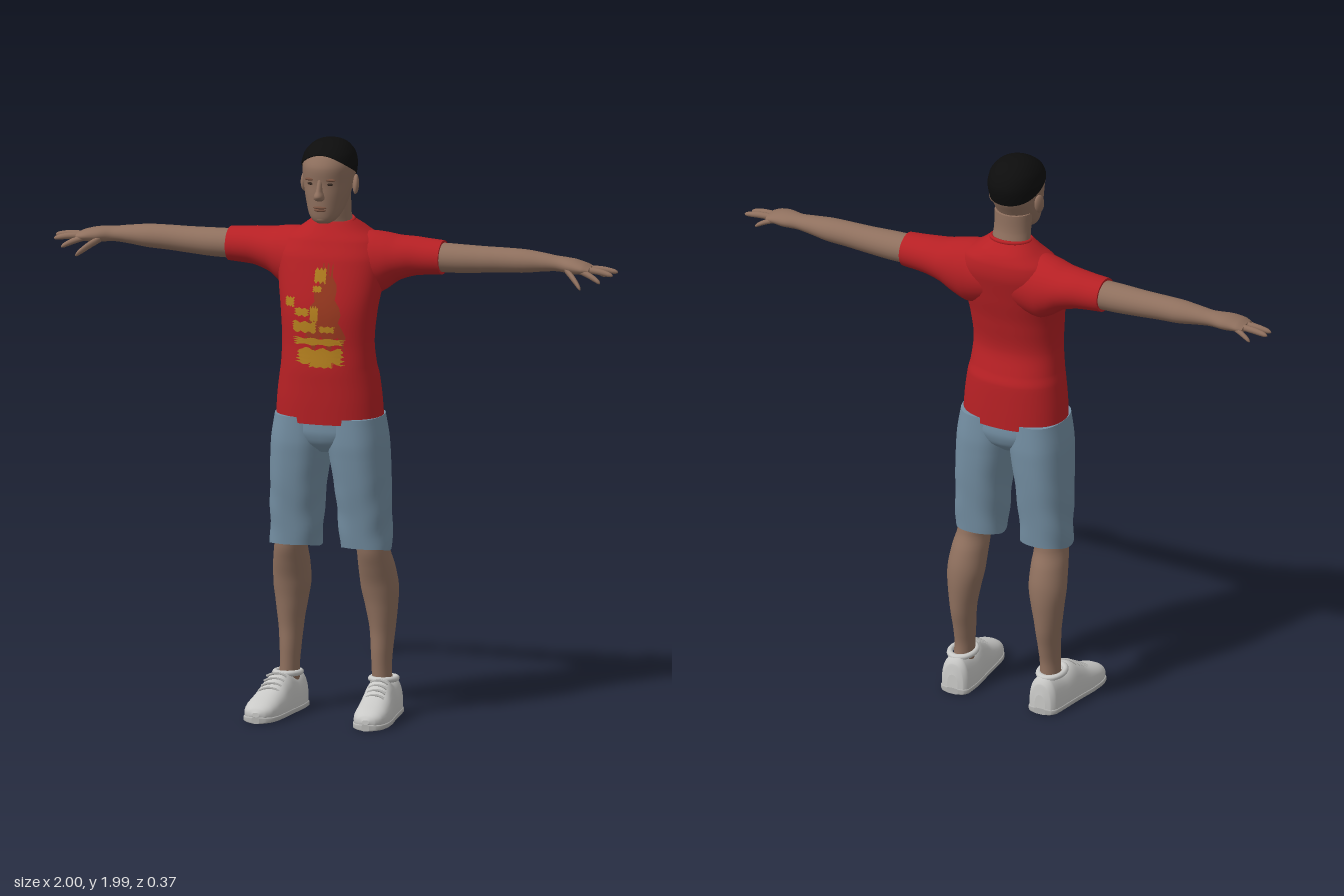
import * as THREE from 'three';

const mat = (name, color) => Object.assign(new THREE.MeshStandardMaterial({ color }), { name });

// Closed tube of rings: fn(t, angle) gives a point; both ends get flat caps
function rings(n, seg, fn) {
  const pos = [], idx = [];
  for (let i = 0; i <= n; i++)
    for (let j = 0; j < seg; j++) pos.push(...fn(i / n, (j / seg) * Math.PI * 2));
  for (let i = 0; i < n; i++)
    for (let j = 0; j < seg; j++) {
      const k = (j + 1) % seg, a = i * seg + j, b = i * seg + k;
      idx.push(a, b, b + seg, a, b + seg, a + seg);
    }
  for (const end of [0, 1]) {
    const base = pos.length / 3, c = [0, 0, 0];
    for (let j = 0; j < seg; j++) {
      const p = fn(end, (j / seg) * Math.PI * 2);
      pos.push(...p);
      p.forEach((v, q) => { c[q] += v / seg; });
    }
    pos.push(...c);
    for (let j = 0; j < seg; j++) {
      const a = base + j, b = base + ((j + 1) % seg);
      idx.push(base + seg, end ? a : b, end ? b : a);
    }
  }
  const g = new THREE.BufferGeometry();
  g.setAttribute('position', new THREE.Float32BufferAttribute(pos, 3));
  g.setIndex(idx);
  g.computeVertexNormals();
  return g;
}

// Smooth, overshoot-free interpolation of section rows [t, u, v, ru, rv]
function sectionAt(rows, t) {
  const last = rows.length - 1;
  let i = 0;
  while (i < last - 1 && t > rows[i + 1][0]) i++;
  const slope = (k, c) => (rows[k + 1][c] - rows[k][c]) / (rows[k + 1][0] - rows[k][0]);
  const tangent = (k, c) => {
    if (k === 0) return slope(0, c);
    if (k === last) return slope(last - 1, c);
    const p = slope(k - 1, c), q = slope(k, c);
    return p * q <= 0 ? 0 : (2 * p * q) / (p + q);
  };
  const h = rows[i + 1][0] - rows[i][0];
  const s = Math.min(1, Math.max(0, (t - rows[i][0]) / h)), s2 = s * s, s3 = s2 * s;
  return [1, 2, 3, 4].map((c) => (2 * s3 - 3 * s2 + 1) * rows[i][c] + (3 * s2 - 2 * s3) * rows[i + 1][c]
    + (s3 - 2 * s2 + s) * h * tangent(i, c) + (s3 - s2) * h * tangent(i + 1, c));
}

const power = (v, n) => Math.sign(v) * Math.abs(v) ** (2 / n);

// Loft along an axis; (u, v) are (y,z) for x, (z,x) for y, (x,y) for z
function loft(axis, rows, { n = 2, seg = 32, steps = 5, warp = (p) => p } = {}) {
  const count = (rows.length - 1) * steps;
  return rings(count, seg, (f, a) => {
    const q = Math.min(f * (rows.length - 1), rows.length - 1 - 1e-9), i = Math.floor(q);
    const t = rows[i][0] + (q - i) * (rows[i + 1][0] - rows[i][0]);
    const [cu, cv, ru, rv] = sectionAt(rows, t);
    const u = cu + ru * power(Math.cos(a), n), v = cv + rv * power(Math.sin(a), n);
    return warp(axis === 'x' ? [t, u, v] : axis === 'y' ? [v, t, u] : [u, v, t]);
  });
}

function mirrored(geo) {
  const g = geo.clone().scale(-1, 1, 1), ix = g.index;
  for (let i = 0; i < ix.count; i += 3) {
    const b = ix.getX(i + 1);
    ix.setX(i + 1, ix.getX(i + 2));
    ix.setX(i + 2, b);
  }
  return g;
}

const ball = (x, y, z, rx, ry, rz) => new THREE.SphereGeometry(1, 20, 14).scale(rx, ry, rz).translate(x, y, z);

const torsoRows = [
  [1.025, -0.028, 0, 0.127, 0.185], [1.1, -0.025, 0, 0.128, 0.18], [1.18, -0.022, 0, 0.127, 0.17],
  [1.22, -0.015, 0, 0.12, 0.163], [1.3, -0.008, 0, 0.108, 0.158], [1.4, -0.016, 0, 0.116, 0.165],
  [1.5, -0.038, 0, 0.12, 0.18], [1.58, -0.058, 0, 0.12, 0.188], [1.64, -0.072, 0, 0.108, 0.165],
  [1.675, -0.075, 0, 0.09, 0.115], [1.705, -0.066, 0, 0.062, 0.074]];
const TORSO_N = 2.3;

const headRows = [
  [1.712, 0.045, 0, 0.022, 0.022], [1.722, 0.038, 0, 0.04, 0.04], [1.745, 0.022, 0, 0.063, 0.056],
  [1.78, 0.004, 0, 0.084, 0.068], [1.815, -0.007, 0, 0.096, 0.077], [1.855, -0.018, 0, 0.107, 0.084],
  [1.9, -0.021, 0, 0.114, 0.088], [1.935, -0.024, 0, 0.101, 0.082], [1.96, -0.027, 0, 0.078, 0.066],
  [1.976, -0.03, 0, 0.052, 0.046], [1.984, -0.03, 0, 0.026, 0.024], [1.986, -0.03, 0, 0.006, 0.006]];

// Ragged plate lying on the chest; taper narrows its top
function chestPatch(x, y, w, h, lift, taper = 0) {
  const g = new THREE.PlaneGeometry(w, h, 12, 12), p = g.attributes.position;
  for (let i = 0; i < p.count; i++) {
    const u = p.getX(i) / w, v = p.getY(i) / h;
    const rag = 1 + 0.13 * Math.sin(v * 23 + y * 90) + 0.08 * Math.sin(v * 51 + x * 70);
    const px = x + u * w * rag * (1 - taper * (v + 0.5));
    const py = y + v * h * (1 + 0.22 * Math.sin(u * 17 + y * 70));
    const [cz, , rz, rx] = sectionAt(torsoRows, py);
    const pz = cz + rz * (1 - Math.abs(px / rx) ** TORSO_N) ** (1 / TORSO_N);
    p.setXYZ(i, px, py, pz + lift);
  }
  g.computeVertexNormals();
  return g;
}

export function createModel() {
  const model = new THREE.Group();
  model.name = 'standingMan';
  const skin = mat('skin', 0x8f705e), red = mat('shirtRed', 0xb62024), denim = mat('denim', 0x748fa3);
  const white = mat('shoeWhite', 0xc9c9c7), sole = mat('soleGrey', 0xb4b4b2), black = mat('hairBlack', 0x0d0d0d);
  const gold = mat('printGold', 0xb47f1e), rust = mat('printRust', 0x98381f), lip = mat('lipBrown', 0x75503f);
  const eye = mat('eyeDark', 0x33261f);

  const add = (name, geo, material) => {
    const m = new THREE.Mesh(geo, material);
    m.name = name;
    model.add(m);
  };
  const pair = (name, geo, material) => {
    add(name + 'Left', geo, material);
    add(name + 'Right', mirrored(geo), material);
  };

  // Shirt
  add('shirtBody', loft('y', torsoRows, { n: TORSO_N, seg: 56, steps: 6 }), red);
  pair('sleeve', loft('x', [
    [0.04, 1.565, -0.066, 0.1, 0.1], [0.13, 1.558, -0.074, 0.112, 0.1], [0.18, 1.567, -0.083, 0.098, 0.094],
    [0.23, 1.58, -0.092, 0.076, 0.084], [0.3, 1.588, -0.098, 0.064, 0.07], [0.378, 1.588, -0.098, 0.058, 0.062]]), red);
  add('collar', new THREE.TorusGeometry(0.069, 0.007, 10, 40).rotateX(Math.PI / 2).scale(1, 1, 0.86)
    .rotateX(0.12).translate(0, 1.703, -0.064), red);

  // Chest print
  add('printShade', chestPatch(0.02, 1.43, 0.15, 0.25, 0.003, 0.75), rust);
  const patches = [
    [0, 1.535, 0.04, 0.045], [-0.108, 1.44, 0.035, 0.03], [-0.008, 1.49, 0.03, 0.02], [-0.06, 1.41, 0.05, 0.026],
    [-0.015, 1.405, 0.028, 0.05], [-0.05, 1.36, 0.085, 0.035], [0.03, 1.355, 0.05, 0.02],
    [0, 1.312, 0.165, 0.022], [0.005, 1.262, 0.155, 0.05], [0.01, 1.235, 0.08, 0.02]];
  patches.forEach(([x, y, w, h], i) => add('printPatch' + (i + 1), chestPatch(x, y, w, h, 0.005), gold));

  // Arms and hands
  pair('arm', loft('x', [
    [0.34, 1.588, -0.098, 0.05, 0.055], [0.42, 1.588, -0.098, 0.049, 0.054], [0.52, 1.59, -0.1, 0.045, 0.049],
    [0.6, 1.593, -0.101, 0.042, 0.046], [0.66, 1.594, -0.101, 0.04, 0.046], [0.74, 1.595, -0.099, 0.031, 0.038],
    [0.79, 1.594, -0.096, 0.026, 0.034], [0.84, 1.591, -0.087, 0.026, 0.045], [0.885, 1.587, -0.08, 0.02, 0.046],
    [0.91, 1.584, -0.08, 0.012, 0.038]], { seg: 24 }), skin);
  // Each digit: base x,y,z, tip x,y,z, radius
  [['littleFinger', 0.88, 1.585, -0.113, 0.945, 1.555, -0.126, 0.0095],
    ['ringFinger', 0.885, 1.586, -0.094, 0.998, 1.577, -0.1, 0.011],
    ['middleFinger', 0.885, 1.586, -0.072, 0.992, 1.572, -0.06, 0.011],
    ['indexFinger', 0.88, 1.583, -0.051, 0.957, 1.55, -0.031, 0.011],
    ['thumb', 0.825, 1.582, -0.062, 0.897, 1.53, -0.002, 0.013],
  ].forEach(([name, x0, y0, z0, x1, y1, z1, r]) => {
    const rows = [[0, 1], [0.5, 1], [0.85, 0.8], [0.96, 0.5], [1, 0.12]].map(([t, s]) => [
      x0 + (x1 - x0) * t, y0 + (y1 - y0) * t + 0.012 * t * (1 - t), z0 + (z1 - z0) * t, r * s, r * s]);
    pair(name, loft('x', rows, { seg: 12, steps: 3 }), skin);
  });

  // Neck and head
  add('neck', loft('y', [
    [1.64, -0.07, 0, 0.06, 0.075], [1.7, -0.062, 0, 0.054, 0.068], [1.74, -0.052, 0, 0.054, 0.065],
    [1.8, -0.045, 0, 0.058, 0.066]]), skin);
  add('head', loft('y', headRows, { n: 2.1, seg: 40, steps: 4 }), skin);
  add('hair', rings(16, 48, (t, a) => {
    const s = Math.cos(a), line = 1.88 + 0.05 * s + 0.015 * s * s;
    const y = line + (1.986 - line) * Math.sin((t * Math.PI) / 2);
    const [cz, , rz, rx] = sectionAt(headRows, y);
    return [(rx * 1.03 + 0.001) * power(Math.sin(a), 2.1), y + 0.003, cz + (rz * 1.03 + 0.001) * power(s, 2.1)];
  }), black);

  // Face
  add('nose', loft('y', [
    [1.795, 0.088, 0, 0.012, 0.012], [1.802, 0.092, 0, 0.021, 0.018], [1.812, 0.092, 0, 0.026, 0.017],
    [1.83, 0.088, 0, 0.02, 0.011], [1.855, 0.083, 0, 0.013, 0.009], [1.872, 0.08, 0, 0.008, 0.008]], { seg: 16 }), skin);
  add('upperLip', ball(0, 1.77, 0.085, 0.024, 0.005, 0.008), lip);
  add('lowerLip', ball(0, 1.761, 0.083, 0.021, 0.006, 0.009), lip);
  add('chin', ball(0, 1.732, 0.066, 0.026, 0.017, 0.016), skin);
  pair('eye', ball(0.033, 1.851, 0.08, 0.012, 0.005, 0.005), eye);
  pair('brow', ball(0.034, 1.866, 0.08, 0.021, 0.005, 0.008), lip);
  pair('ear', ball(0, 0, 0, 0.011, 0.034, 0.02).rotateY(0.35).rotateX(-0.15).translate(0.09, 1.835, -0.03), skin);

  // Shorts with wavy hems
  add('shortsHips', loft('y', [
    [0.92, -0.03, 0, 0.07, 0.04], [0.96, -0.03, 0, 0.112, 0.14], [1, -0.03, 0, 0.122, 0.186],
    [1.05, -0.028, 0, 0.12, 0.182]], { n: 2.3 }), denim);
  pair('shortsLeg', loft('y', [
    [0.587, -0.04, 0.124, 0.081, 0.086], [0.7, -0.038, 0.12, 0.094, 0.089], [0.8, -0.035, 0.114, 0.108, 0.092],
    [0.9, -0.032, 0.105, 0.118, 0.098], [0.96, -0.03, 0.099, 0.122, 0.1], [1.045, -0.028, 0.091, 0.12, 0.094]], {
    n: 2.4, seg: 40, steps: 6,
    warp: ([x, y, z]) => {
      const k = Math.max(0, 1 - (y - 0.587) / 0.3);
      return [x + 0.003 * k * Math.sin(y * 45 + z * 30), y + 0.006 * k * Math.sin(z * 40), z];
    } }), denim);

  // Legs
  pair('leg', loft('y', [
    [0.1, -0.09, 0.166, 0.045, 0.034], [0.16, -0.088, 0.163, 0.043, 0.033], [0.22, -0.092, 0.162, 0.048, 0.036],
    [0.3, -0.1, 0.162, 0.056, 0.043], [0.38, -0.098, 0.159, 0.064, 0.055], [0.45, -0.09, 0.155, 0.07, 0.064],
    [0.52, -0.07, 0.151, 0.073, 0.061], [0.58, -0.049, 0.146, 0.07, 0.055], [0.68, -0.04, 0.13, 0.07, 0.06]]), skin);

  // Shoes: z, centre x, half width, top height
  const shoe = [
    [-0.171, 0.167, 0.02, 0.07], [-0.165, 0.167, 0.04, 0.11], [-0.145, 0.168, 0.052, 0.132], [-0.08, 0.172, 0.057, 0.124],
    [-0.025, 0.178, 0.058, 0.14], [0.015, 0.183, 0.059, 0.125], [0.06, 0.188, 0.061, 0.098], [0.11, 0.192, 0.06, 0.08],
    [0.15, 0.194, 0.052, 0.066], [0.174, 0.195, 0.034, 0.052], [0.184, 0.195, 0.012, 0.038]];
  pair('shoe', loft('z', shoe.map(([z, x, w, top]) => [z, x, 0.03, w, top - 0.03]), {
    n: 2.3, seg: 36, warp: ([x, y, z]) => [x, Math.max(0.004, y), z] }), white);
  pair('sole', loft('z', shoe.map(([z, x, w]) => [z * 1.01, x, 0.011, w * 1.03 + 0.001, 0.011]), { n: 5 }), sole);
  pair('ankleCuff', new THREE.TorusGeometry(0.042, 0.01, 10, 28).rotateX(Math.PI / 2).scale(1, 1, 1.3)
    .rotateX(-0.06).translate(0.17, 0.128, -0.088), white);
  for (let i = 0; i < 4; i++) {
    const z = -0.005 + i * 0.022, top = 0.137 - i * 0.0125;
    const lace = new THREE.CatmullRomCurve3([-0.034, -0.018, 0, 0.018, 0.034].map((d) =>
      new THREE.Vector3(0.183 + i * 0.002 + d, top - 9 * d * d, z + d * 0.15)));
    pair('lace' + (i + 1), new THREE.TubeGeometry(lace, 10, 0.0045, 6), sole);
  }
  return model;
}
